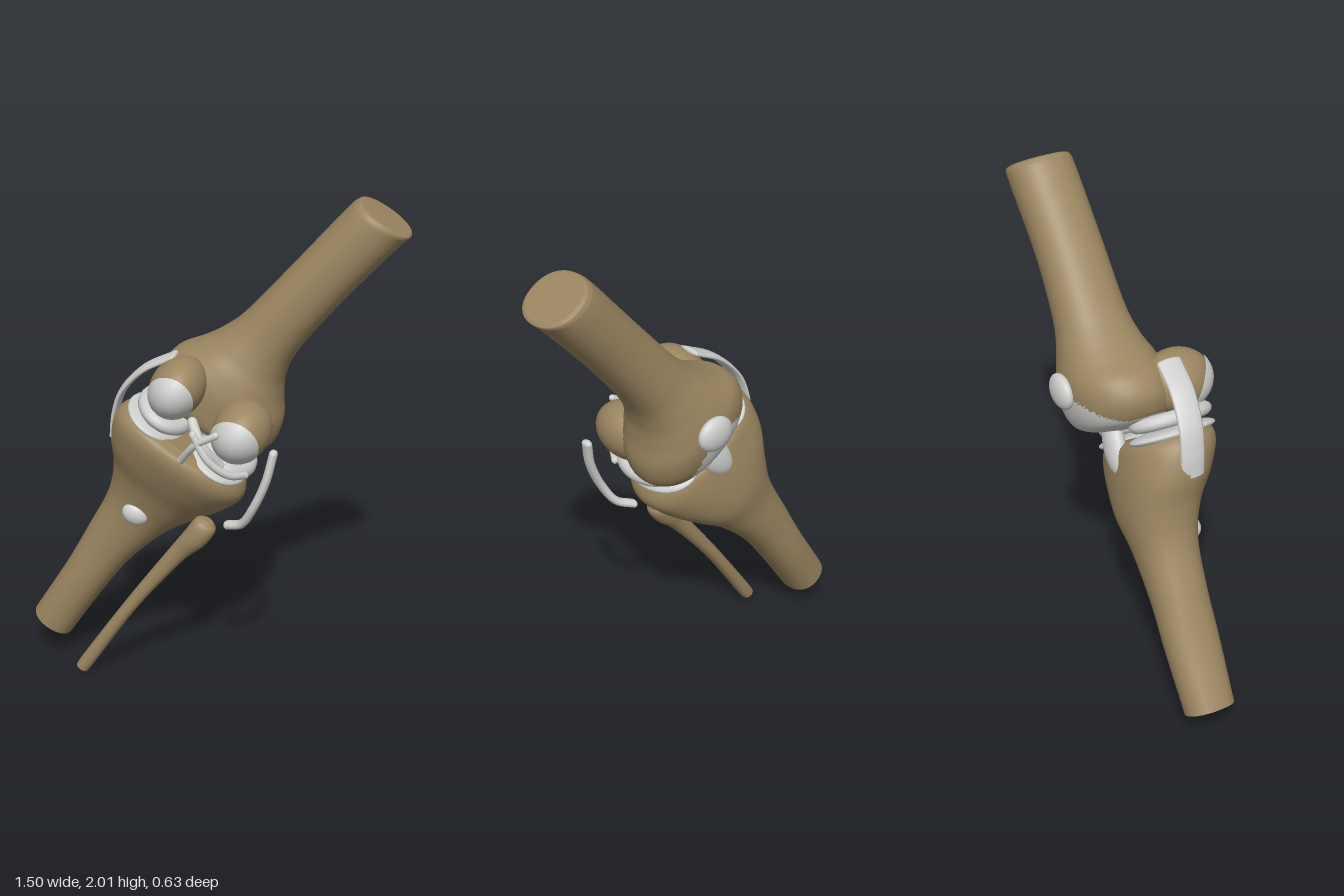
import * as THREE from 'three';

const bone = new THREE.MeshStandardMaterial({ color: 0x9b8560 });
bone.name = 'bone tan';
const cartilage = new THREE.MeshStandardMaterial({ color: 0xcfcfcd });
cartilage.name = 'cartilage grey';

function add(parent, name, geometry, material) {
  const mesh = new THREE.Mesh(geometry, material);
  mesh.name = name;
  parent.add(mesh);
  return mesh;
}

// Smooth loft through sections [height, x0, x1, z0, z1], listed from bottom to top.
// isGrey(x, y, z) may send faces to the cartilage material.
function loft(sections, steps = 60, sides = 40, isGrey = () => false) {
  const spline = (pick) => new THREE.CatmullRomCurve3(
    sections.map((s) => new THREE.Vector3(...pick(s))), false, 'catmullrom', 0.5);
  const across = spline((s) => [s[1], s[0], s[2]]);
  const deep = spline((s) => [s[3], 0, s[4]]);
  const pos = [];
  const faces = [[], []];
  const ring = (u) => {
    const a = across.getPoint(u);
    const d = deep.getPoint(u);
    for (let j = 0; j < sides; j++) {
      const th = (j / sides) * Math.PI * 2;
      const round = (v) => Math.sign(v) * Math.abs(v) ** 0.9;
      pos.push((a.x + a.z) / 2 + (a.z - a.x) / 2 * round(Math.cos(th)), a.y,
        (d.x + d.z) / 2 + (d.z - d.x) / 2 * round(Math.sin(th)));
    }
    return [(a.x + a.z) / 2, a.y, (d.x + d.z) / 2];
  };
  const face = (...ids) => {
    const mid = [0, 1, 2].map((k) => ids.reduce((sum, i) => sum + pos[i * 3 + k], 0) / 3);
    faces[isGrey(...mid) ? 1 : 0].push(...ids);
  };
  for (let i = 0; i <= steps; i++) ring(i / steps);
  for (let i = 0; i < steps; i++) {
    for (let j = 0; j < sides; j++) {
      const a = i * sides + j;
      const b = i * sides + (j + 1) % sides;
      face(a, a + sides, b);
      face(b, a + sides, b + sides);
    }
  }
  // end caps with their own vertices, so the cut edge stays crisp
  for (const u of [0, 1]) {
    const start = pos.length / 3;
    const centre = ring(u);
    pos.push(...centre);
    for (let j = 0; j < sides; j++) {
      const a = start + j;
      const b = start + (j + 1) % sides;
      if (u === 0) face(start + sides, a, b);
      else face(start + sides, b, a);
    }
  }
  const g = new THREE.BufferGeometry();
  g.setAttribute('position', new THREE.Float32BufferAttribute(pos, 3));
  g.setIndex([...faces[0], ...faces[1]]);
  g.addGroup(0, faces[0].length, 0);
  g.addGroup(faces[0].length, faces[1].length, 1);
  g.computeVertexNormals();
  return g;
}

function ellipsoid(parent, name, centre, radii, material, tilt = [0, 0, 0]) {
  const mesh = add(parent, name, new THREE.SphereGeometry(1, 32, 20).scale(...radii), material);
  mesh.position.set(...centre);
  mesh.rotation.set(...tilt);
  return mesh;
}

// Round-ended band along world points, stretched in z by the factor wide
function band(parent, name, points, radius, wide = 1) {
  const group = new THREE.Group();
  group.name = name;
  const pts = points.map(([x, y, z]) => new THREE.Vector3(x, y, z / wide));
  const tube = new THREE.TubeGeometry(new THREE.CatmullRomCurve3(pts), 40, radius, 12);
  add(group, name + 'Strand', tube.scale(1, 1, wide), cartilage);
  for (const p of [pts[0], pts[pts.length - 1]]) {
    const end = add(group, name + 'End',
      new THREE.SphereGeometry(radius, 12, 8).scale(1, 1, wide), cartilage);
    end.position.set(p.x, p.y, p.z * wide);
  }
  parent.add(group);
}

export function createModel() {
  const model = new THREE.Group();
  model.name = 'kneeJoint';

  // Bones stand along the y axis of this leaning frame, the joint at its origin
  const leg = new THREE.Group();
  leg.name = 'bones';
  leg.position.set(0, 1.08, 0);
  leg.rotation.z = -0.571;
  model.add(leg);

  // Femur, with the cartilage groove low on the back
  add(leg, 'femur', loft([
    [-0.02, -0.12, 0.1, -0.12, 0.04],
    [0.0, -0.2, 0.18, -0.19, 0.09],
    [0.03, -0.25, 0.225, -0.235, 0.12],
    [0.09, -0.285, 0.245, -0.265, 0.13],
    [0.17, -0.275, 0.225, -0.28, 0.13],
    [0.25, -0.22, 0.17, -0.27, 0.11],
    [0.33, -0.175, 0.13, -0.25, 0.08],
    [0.45, -0.135, 0.115, -0.225, 0.06],
    [0.7, -0.095, 0.14, -0.21, 0.055],
    [1.0, -0.05, 0.19, -0.215, 0.05],
    [1.06, -0.035, 0.205, -0.21, 0.045],
    [1.072, -0.02, 0.195, -0.195, 0.03],
  ], 90, 56, (x, y, z) => y < 0.015 || (z < 0 && y < 0.15 - 4 * (x + 0.03) ** 2)),
  [bone, cartilage]);

  // Condyles with their cartilage caps, and the menisci and plateaus under them
  for (const [side, x, r] of [['right', -0.185, 0.105], ['left', 0.11, 0.112]]) {
    const radii = [r, 0.125, 0.148];
    ellipsoid(leg, side + 'Condyle', [x, 0.115, 0.12], radii, bone);
    const cap = new THREE.SphereGeometry(1.03, 32, 16, 0, Math.PI * 2, 0, 1.05)
      .rotateX(2.0).scale(...radii);
    add(leg, side + 'CondyleCartilage', cap, cartilage).position.set(x, 0.115, 0.12);
    const ring = new THREE.TorusGeometry(0.09, 0.03, 12, 40).rotateX(Math.PI / 2)
      .scale(1, 1, 1.45);
    add(leg, side + 'Meniscus', ring, cartilage).position.set(x + 0.015, -0.018, 0.06);
    ellipsoid(leg, side + 'Plateau', [x, -0.075, 0.045], [0.125, 0.03, 0.18], cartilage);
  }

  // Tibia
  add(leg, 'tibia', loft([
    [-1.162, -0.144, 0.036, -0.15, 0.05],
    [-0.9, -0.147, 0.042, -0.16, 0.062],
    [-0.7, -0.16, 0.06, -0.16, 0.065],
    [-0.5, -0.178, 0.115, -0.165, 0.085],
    [-0.36, -0.23, 0.185, -0.18, 0.13],
    [-0.25, -0.3, 0.24, -0.175, 0.19],
    [-0.15, -0.33, 0.27, -0.16, 0.235],
    [-0.09, -0.31, 0.24, -0.145, 0.235],
    [-0.068, -0.26, 0.19, -0.11, 0.19],
  ]), [bone, cartilage]);

  // Fibula
  add(leg, 'fibula', loft([
    [-1.168, 0.132, 0.175, 0.092, 0.138],
    [-1.15, 0.125, 0.182, 0.085, 0.145],
    [-0.8, 0.135, 0.19, 0.08, 0.15],
    [-0.5, 0.152, 0.225, 0.08, 0.155],
    [-0.38, 0.16, 0.258, 0.07, 0.17],
    [-0.31, 0.165, 0.26, 0.07, 0.165],
    [-0.285, 0.19, 0.235, 0.095, 0.14],
  ], 50, 20), [bone, cartilage]);

  // Attachment pads
  ellipsoid(model, 'tibiaPad', [-0.28, 0.71, 0.085], [0.055, 0.046, 0.035], cartilage,
    [0, 0, -0.4]);
  ellipsoid(model, 'femurPad', [0.08, 1.25, -0.285], [0.08, 0.07, 0.036], cartilage);
  ellipsoid(leg, 'patellarPad', [-0.02, -0.065, -0.13], [0.065, 0.125, 0.04], cartilage,
    [0.15, 0, -0.1]);

  // Side ligaments
  band(model, 'rightSideLigament', [[-0.12, 1.385, 0.07], [-0.24, 1.32, 0.06],
    [-0.33, 1.22, 0.045], [-0.365, 1.12, 0.035], [-0.375, 1.03, 0.03]], 0.013, 4);
  band(model, 'leftSideLigament', [[0.295, 1.07, 0.21], [0.27, 0.96, 0.225],
    [0.22, 0.84, 0.22], [0.17, 0.76, 0.19], [0.11, 0.735, 0.16]], 0.017, 1.5);

  // Crossed ligaments
  band(model, 'innerCrossLigament', [[-0.02, 1.17, 0.2], [0.03, 1.1, 0.265],
    [0.09, 1.01, 0.22]], 0.02);
  band(model, 'outerCrossLigament', [[0.09, 1.16, 0.295], [0.01, 1.11, 0.28],
    [-0.06, 1.02, 0.23]], 0.014);
  band(model, 'meniscusLigament', [[0.0, 1.15, 0.28], [0.06, 1.05, 0.285],
    [0.13, 0.985, 0.25], [0.18, 0.96, 0.18]], 0.015);

  return model;
}
